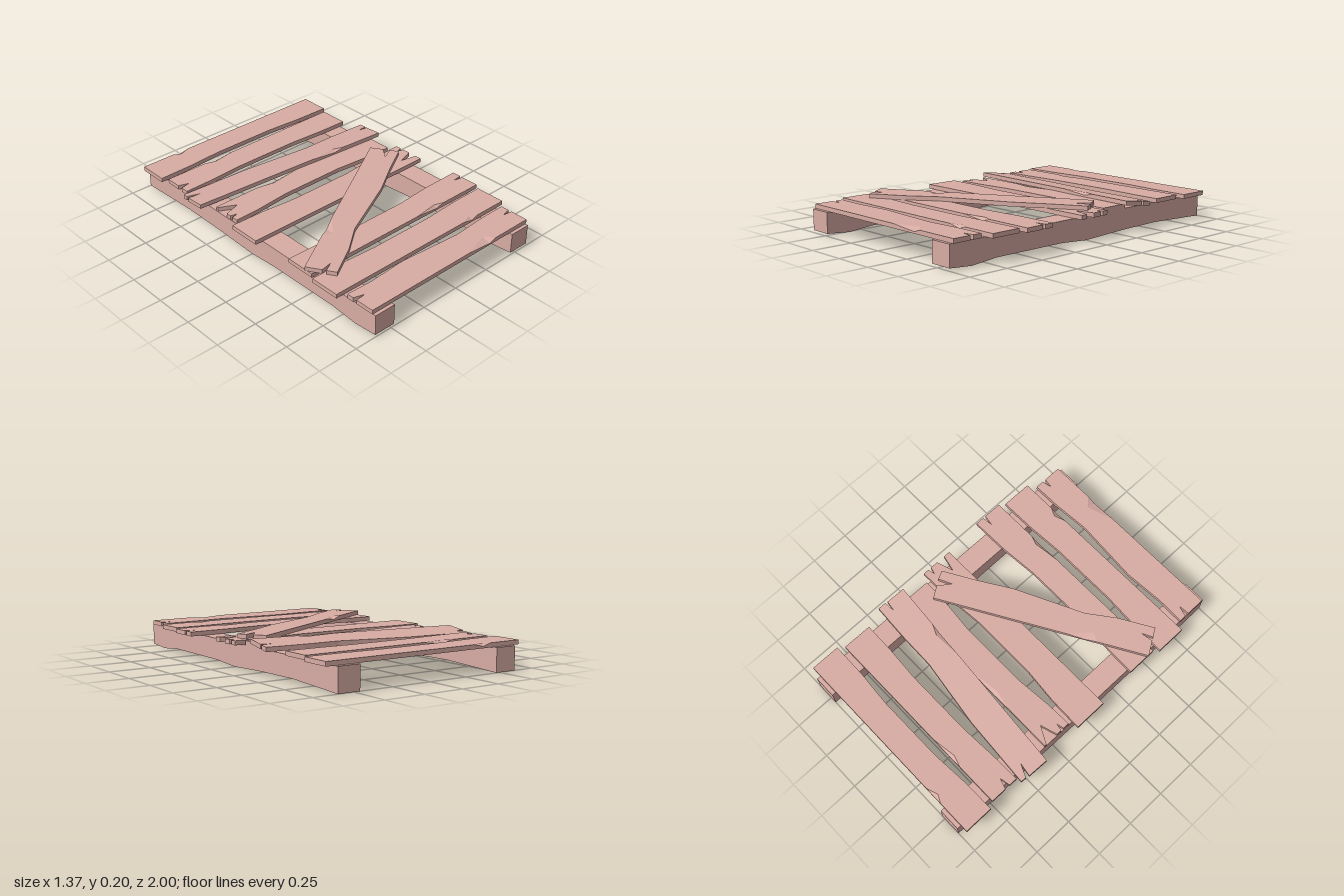
import * as THREE from 'three';

const wood = new THREE.MeshStandardMaterial({ color: 0xd8aca4, flatShading: true });
const THICK = 0.026;

// Plank from a plan outline of [x, z] points, ordered back-left, back-right, front-right, front-left.
// A point [x, z, ax, az] is a splinter: the top edge retreats to (ax, az), leaving a sloped facet.
function plank(name, outline, y = 0.14, slope = 0, z0 = 0) {
  const pos = [];
  const lift = (x, h, z) => new THREE.Vector3(x, y + h + slope * (z - z0), z);
  const top = outline.map(([x, z, ax = x, az = z]) => lift(ax, THICK, az));
  const mid = outline.map(([x, z, ax]) => lift(x, ax === undefined ? THICK : THICK * 0.4, z));
  const low = outline.map(([x, z]) => lift(x, 0, z));
  const tri = (a, b, c) => {
    const n = b.clone().sub(a).cross(c.clone().sub(a));
    if (n.length() > 1e-9) [a, b, c].forEach(p => pos.push(p.x, p.y, p.z));
  };
  // caps, turned to face up and down
  const cap = (ring, up) => {
    const flat = ring.map(p => new THREE.Vector2(p.x, p.z));
    for (const [i, j, k] of THREE.ShapeUtils.triangulateShape(flat, [])) {
      const [a, b, c] = [ring[i], ring[j], ring[k]];
      const ny = (b.z - a.z) * (c.x - a.x) - (b.x - a.x) * (c.z - a.z);
      if (ny > 0 === up) tri(a, b, c); else tri(a, c, b);
    }
  };
  cap(top, true);
  cap(low, false);
  // edges
  for (const [hi, lo] of [[top, mid], [mid, low]]) {
    for (let i = 0; i < hi.length; i++) {
      const j = (i + 1) % hi.length;
      tri(hi[i], hi[j], lo[j]);
      tri(hi[i], lo[j], lo[i]);
    }
  }
  const geo = new THREE.BufferGeometry();
  geo.setAttribute('position', new THREE.Float32BufferAttribute(pos, 3));
  geo.computeVertexNormals();
  const mesh = new THREE.Mesh(geo, wood);
  mesh.name = name;
  return mesh;
}

// Straight plank: worn "back"/"front" points and "left"/"right" split points fill in the corners
function straight(name, x0, x1, z0, z1, { back = [], right = [], front = [], left = [] }) {
  return plank(name, [[x0, z0], ...back, [x1, z0], ...right, [x1, z1], ...front, [x0, z1], ...left]);
}

// Shallow hollow along one long edge, listed left to right
const hollow = (z, dz) => [[-0.45, z + dz * 0.2], [-0.22, z + dz], [0.2, z + dz], [0.43, z + dz * 0.2]];

function rail(name, x) {
  const s = new THREE.Shape();
  const under = [[1, 0.015], [0.85, 0.003], [0.68, 0.018], [0.2, 0.016], [0, 0.002],
    [-0.3, 0.014], [-0.6, 0.018], [-1, 0]];
  s.moveTo(-1, 0.14);
  under.forEach(([z, y]) => s.lineTo(-z, y));
  s.lineTo(1, 0.14);
  const geo = new THREE.ExtrudeGeometry(s, { depth: 0.138, bevelEnabled: false });
  geo.rotateY(Math.PI / 2);
  const mesh = new THREE.Mesh(geo, wood);
  mesh.name = name;
  mesh.position.x = x;
  return mesh;
}

export function createModel() {
  const g = new THREE.Group();
  g.name = 'brokenPallet';
  g.add(rail('rightRail', -0.615), rail('leftRail', 0.46));

  // cross planks, back to front
  g.add(straight('plank1', -0.665, 0.655, -0.975, -0.79, {
    back: [[-0.45, -0.975], [-0.4, -0.975, -0.4, -0.95], [-0.33, -0.975]],
    front: hollow(-0.79, -0.02).reverse(),
  }));
  g.add(straight('plank2', -0.64, 0.625, -0.755, -0.57, {
    back: [[-0.37, -0.755], [-0.3, -0.755, -0.3, -0.733], [-0.15, -0.755]],
    front: hollow(-0.57, -0.017).reverse(),
    left: [[-0.64, -0.622], [-0.575, -0.635], [-0.64, -0.655]],
  }));
  g.add(straight('plank4', -0.613, 0.6, -0.32, -0.13, {
    back: [[-0.31, -0.32], [-0.19, -0.32, -0.19, -0.295], [0, -0.32]],
    front: hollow(-0.13, -0.026).reverse(),
    left: [[-0.613, -0.17], [-0.57, -0.18], [-0.613, -0.19],
      [-0.613, -0.222], [-0.51, -0.254], [-0.613, -0.307]],
  }));
  g.add(straight('plank5', -0.665, 0.655, -0.105, 0.102, {
    back: hollow(-0.105, 0.026),
    right: [[0.655, -0.069], [0.612, -0.058], [0.655, -0.048],
      [0.655, 0.003], [0.55, 0.037], [0.655, 0.06]],
  }));
  g.add(straight('plank6', -0.64, 0.68, 0.353, 0.54, {
    back: hollow(0.353, 0.023),
    right: [[0.68, 0.408], [0.612, 0.415], [0.68, 0.426]],
    front: [[0.39, 0.54], [0.33, 0.54, 0.33, 0.52], [0.17, 0.54]],
  }));
  g.add(straight('plank7', -0.665, 0.655, 0.573, 0.76, {
    back: hollow(0.573, 0.017),
    front: [[0.44, 0.76], [0.39, 0.76, 0.39, 0.735], [0.32, 0.76]],
  }));
  g.add(straight('plank8', -0.62, 0.607, 0.795, 0.98, {
    back: [[-0.45, 0.8], [-0.2, 0.784], [0.2, 0.813], [0.43, 0.797]],
    right: [[0.607, 0.848], [0.543, 0.86], [0.607, 0.869]],
    front: [[0.34, 0.98], [0.29, 0.98, 0.29, 0.925], [0.12, 0.98]],
    left: [[-0.62, 0.864], [-0.553, 0.858], [-0.62, 0.838]],
  }));

  // loose plank, tipped up on its neighbour
  g.add(plank('tiltedPlank', [[-0.67, -0.56], [-0.45, -0.545], [-0.225, -0.53], [0.205, -0.47],
    [0.43, -0.466], [0.67, -0.453], [0.667, -0.402], [0.595, -0.397], [0.663, -0.388],
    [0.655, -0.268], [0.37, -0.291], [0.3, -0.297, 0.3, -0.322], [0.12, -0.311], [-0.685, -0.375],
    [-0.678, -0.505], [-0.595, -0.492], [-0.673, -0.526]], 0.17, 0.12, -0.268));

  // diagonal plank lying on top
  g.add(plank('diagonalPlank', [[-0.648, 0.492], [-0.385, 0.338], [-0.31, 0.294, -0.32, 0.36],
    [-0.225, 0.244], [0.49, -0.175], [0.535, -0.108], [0.48, -0.032], [0.56, -0.072], [0.585, -0.02],
    [0.4, 0.088], [0.205, 0.212], [-0.2, 0.41], [-0.357, 0.53], [-0.553, 0.646],
    [-0.585, 0.595], [-0.523, 0.562], [-0.597, 0.575]], 0.165));
  return g;
}
